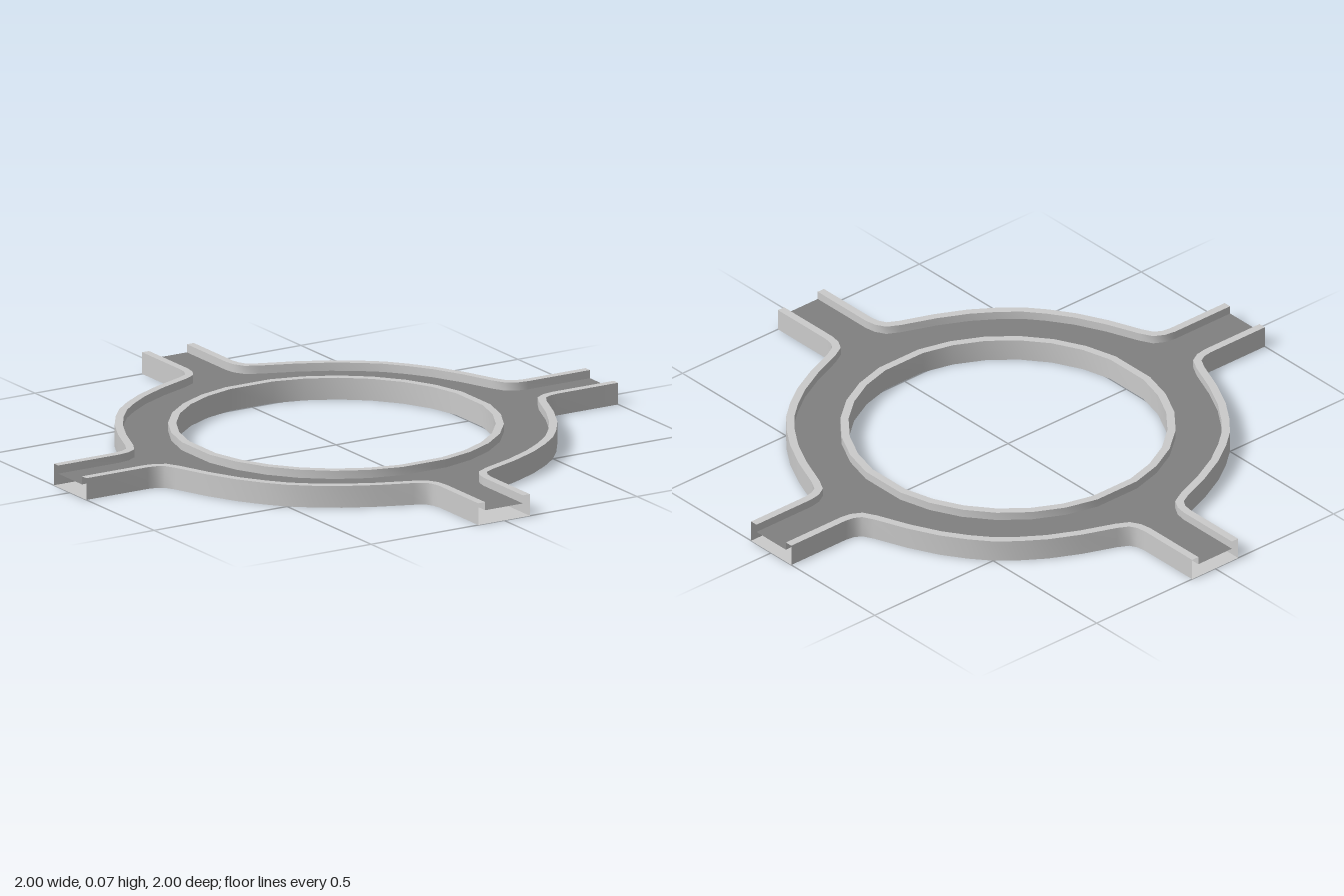
import * as THREE from 'three';

const HEIGHT = 0.072, ROAD_Y = 0.045, CURB = 0.026;
const ARM = 0.097;

// Moves a polyline sideways by d, mitred at its corners (points are x, z)
function offset(points, d, closed) {
  const n = points.length;
  const normal = (a, b) => new THREE.Vector2(b.y - a.y, a.x - b.x).normalize();
  return points.map((p, i) => {
    const prev = closed || i > 0 ? normal(points[(i + n - 1) % n], p) : null;
    const next = closed || i < n - 1 ? normal(p, points[(i + 1) % n]) : null;
    const a = prev || next, b = next || prev;
    const m = a.clone().add(b).normalize();
    return p.clone().addScaledVector(m, d / m.dot(a));
  });
}

// Band between two profile points [inset, y], swept along a polyline
function band(path, from, to, closed) {
  const n = path.length, pos = [], index = [];
  for (const [d, y] of [from, to]) {
    for (const p of offset(path, d, closed)) pos.push(p.x, y, p.y);
  }
  for (let i = 0; i < (closed ? n : n - 1); i++) {
    const j = (i + 1) % n;
    index.push(i, j, n + i, j, n + j, n + i);
  }
  const g = new THREE.BufferGeometry();
  g.setAttribute('position', new THREE.Float32BufferAttribute(pos, 3));
  g.setIndex(index);
  g.computeVertexNormals();
  return g;
}

export function createModel() {
  const group = new THREE.Group();
  const grey = new THREE.MeshStandardMaterial({ color: 0xcccccc, side: THREE.DoubleSide });
  const asphalt = new THREE.MeshStandardMaterial({ color: 0x808080, side: THREE.DoubleSide });
  const add = (name, geometry, material) => {
    const mesh = new THREE.Mesh(geometry, material);
    mesh.name = name;
    group.add(mesh);
  };

  // Outer edge of one quadrant: arm side, fillet, ring arc, then mirrored
  const half = [[ARM, 1], [ARM, 0.77], [0.102, 0.74], [0.115, 0.717], [0.15, 0.698],
    [0.26, 0.655], [0.36, 0.605], [0.438, 0.552]].map(([x, z]) => new THREE.Vector2(x, z));
  const quadrant = [...half, new THREE.Vector2(0.5, 0.5),
    ...half.map((p) => new THREE.Vector2(p.y, p.x)).reverse()];
  const edges = [0, 1, 2, 3].map((k) =>
    quadrant.map((p) => p.clone().rotateAround(new THREE.Vector2(), -k * Math.PI / 2)));

  // Central opening, with a wider flat facing each arm
  const hole = [];
  for (let q = 0; q < 4; q++) {
    for (let k = 0; k <= 6; k++) {
      const a = THREE.MathUtils.degToRad(q * 90 + 9 + k * 12);
      hole.push(new THREE.Vector2(0.508 * Math.cos(a), 0.508 * Math.sin(a)));
    }
  }

  // Wall, flat kerb and step down to the road along every edge
  const profile = [[0, 0], [0, HEIGHT], [CURB, HEIGHT], [CURB, ROAD_Y]];
  const names = ['Wall', 'KerbTop', 'KerbStep'];
  names.forEach((name, s) => {
    edges.forEach((e) => add('outer' + name, band(e, profile[s], profile[s + 1], false), grey));
    add('inner' + name, band(hole, profile[s], profile[s + 1], true), grey);
  });

  // Flat sheets spanning the whole plan; the arm ends stay open
  const sheet = (inset) => {
    const shape = new THREE.Shape(edges.flatMap((e) => offset(e, inset, false)));
    shape.holes.push(new THREE.Path(offset(hole, inset, true)));
    return new THREE.ShapeGeometry(shape);
  };
  add('roadSurface', sheet(CURB).rotateX(-Math.PI / 2).translate(0, ROAD_Y, 0), asphalt);
  add('underside', sheet(0).rotateX(Math.PI / 2), grey);

  return group;
}
